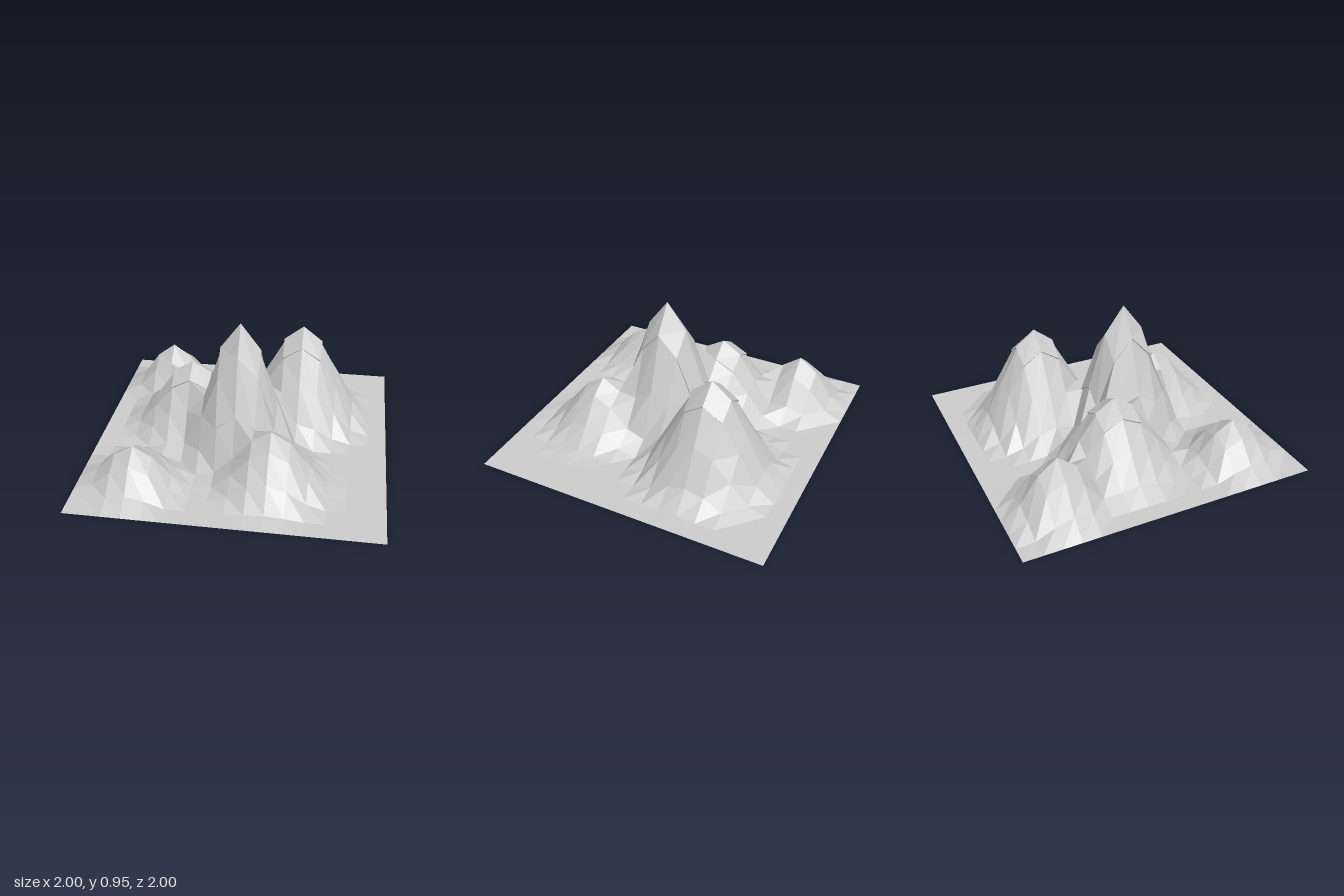
import * as THREE from 'three';

const N = 16, STEP = 2 / N, LIFT = 0.012;

// x, z, height, radius of each mountain
const PEAKS = [
  [0, 0.125, 0.94, 0.45],
  [0.375, -0.375, 0.7, 0.52],
  [-0.375, -0.125, 0.5, 0.5],
  [-0.625, -0.625, 0.365, 0.375],
  [0.25, 0.5, 0.39, 0.44],
  [-0.625, 0.625, 0.28, 0.375],
];

// x and z cell ranges of the raised summit caps
const CAPS = [
  { name: 'mainPeakCap', x: [7, 9], z: [7, 11] },
  { name: 'secondPeakCap', x: [10, 12], z: [4, 6] },
  { name: 'thirdPeakCap', x: [4, 6], z: [6, 8] },
];

// Each mountain has a smooth bell profile; the tallest one wins
function height(x, z) {
  return Math.max(0, ...PEAKS.map(([px, pz, h, r]) => {
    const t = Math.max(0, 1 - Math.hypot(x - px, z - pz) / r);
    return h * t * t * (3 - 2 * t);
  }));
}

// Grid point, optionally pushed out along the slope's normal
function point(i, j, lift = 0) {
  const x = -1 + i * STEP, z = -1 + j * STEP;
  const p = new THREE.Vector3(x, height(x, z), z);
  if (lift) {
    const n = new THREE.Vector3(
      height(x - STEP, z) - height(x + STEP, z), 2 * STEP,
      height(x, z - STEP) - height(x, z + STEP)).normalize();
    p.addScaledVector(n, lift);
  }
  return p;
}

const inCap = (c, i, j) => i >= c.x[0] && i < c.x[1] && j >= c.z[0] && j < c.z[1];

function surface(name, quads) {
  const pts = quads.flatMap(([a, b, c, d]) => [a, b, c, a, c, d]);
  const geometry = new THREE.BufferGeometry().setFromPoints(pts);
  geometry.computeVertexNormals();
  const mesh = new THREE.Mesh(geometry, new THREE.MeshStandardMaterial({
    color: 0xcccccc, flatShading: true, side: THREE.DoubleSide,
  }));
  mesh.name = name;
  return mesh;
}

const cell = (i, j, lift) => [
  point(i, j, lift), point(i, j + 1, lift), point(i + 1, j + 1, lift), point(i + 1, j, lift),
];

export function createModel() {
  const group = new THREE.Group();
  group.name = 'mountainTerrain';

  // Open terrain sheet, left out under the caps
  const ground = [];
  for (let i = 0; i < N; i++) for (let j = 0; j < N; j++) {
    if (!CAPS.some((c) => inCap(c, i, j))) ground.push(cell(i, j, 0));
  }
  group.add(surface('terrain', ground));

  // Slightly raised caps with a thin rim around each
  for (const cap of CAPS) {
    const quads = [];
    const rim = (i0, j0, i1, j1) => quads.push([
      point(i0, j0), point(i1, j1), point(i1, j1, LIFT), point(i0, j0, LIFT),
    ]);
    for (let i = cap.x[0]; i < cap.x[1]; i++) {
      for (let j = cap.z[0]; j < cap.z[1]; j++) quads.push(cell(i, j, LIFT));
      rim(i + 1, cap.z[0], i, cap.z[0]);
      rim(i, cap.z[1], i + 1, cap.z[1]);
    }
    for (let j = cap.z[0]; j < cap.z[1]; j++) {
      rim(cap.x[0], j, cap.x[0], j + 1);
      rim(cap.x[1], j + 1, cap.x[1], j);
    }
    group.add(surface(cap.name, quads));
  }
  return group;
}
